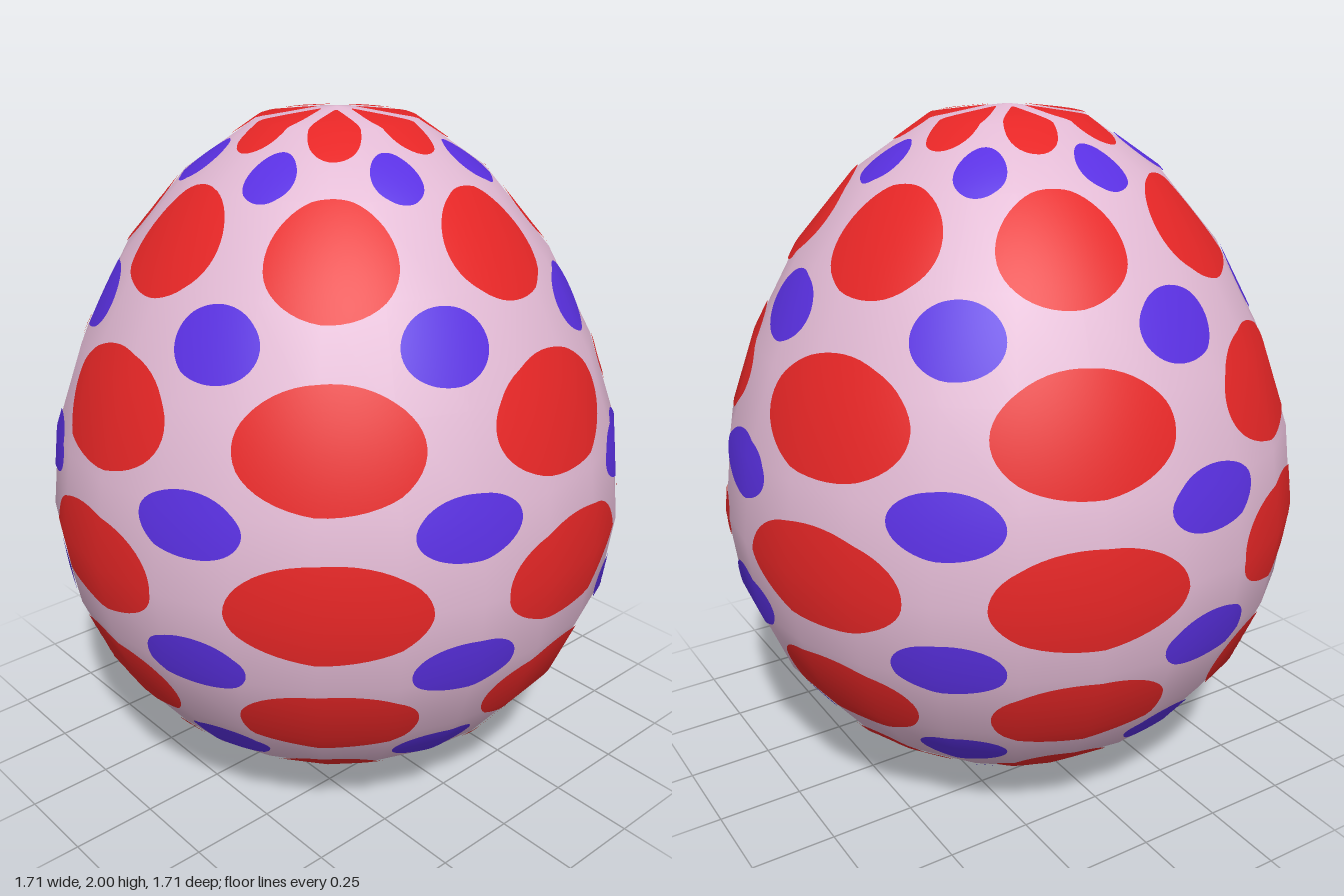
import * as THREE from 'three';

const SIDES = 24; // sides of the shell
const TILES = 7; // dot pattern repeats around and from pole to pole
const STEP = Math.PI / 12; // latitude between rings
const RADIUS = 0.855;
const AZIMUTH_SHIFT = THREE.MathUtils.degToRad(8.57);
const LIFT = 0.004;

// Ring heights from the bottom pole to the top pole
const heights = [0, 0.03, 0.116, 0.255, 0.435, 0.645, 0.87, 1.115, 1.36, 1.615, 1.825, 1.968, 2];
const profile = heights.map((y, i) => new THREE.Vector2(i % 12 ? RADIUS * Math.sin(i * STEP) : 0, y));

// Smooth outward normal of each ring, as (radial, up)
const ringNormals = profile.map((p, i) => {
  if (i === 0) return new THREE.Vector2(0, -1);
  if (i === 12) return new THREE.Vector2(0, 1);
  const edge = (a, b) => new THREE.Vector2(b.y - a.y, a.x - b.x).normalize();
  return edge(profile[i - 1], p).add(edge(p, profile[i + 1])).normalize();
});

// Point and normal on the faceted shell at an azimuth and latitude
function shellPoint(azimuth, latitude) {
  const row = THREE.MathUtils.clamp((latitude + Math.PI / 2) / STEP, 0, 11.9999);
  const i = Math.floor(row);
  const p = profile[i].clone().lerp(profile[i + 1], row - i);
  const n = ringNormals[i].clone().lerp(ringNormals[i + 1], row - i).normalize();
  const width = (2 * Math.PI) / SIDES;
  const side = Math.floor(azimuth / width);
  const t = azimuth / width - side;
  const a = side * width, b = a + width;
  const normal = new THREE.Vector3(n.x * Math.sin(azimuth), n.y, n.x * Math.cos(azimuth));
  const position = new THREE.Vector3(
    p.x * THREE.MathUtils.lerp(Math.sin(a), Math.sin(b), t),
    p.y,
    p.x * THREE.MathUtils.lerp(Math.cos(a), Math.cos(b), t)
  ).addScaledVector(normal, LIFT);
  return { position, normal };
}

// A round dot in pattern space, wrapped onto the shell
function dot(column, row, radius, material, name) {
  const geometry = new THREE.RingGeometry(0, radius, 48, 8);
  const pos = geometry.attributes.position;
  const nor = geometry.attributes.normal;
  for (let i = 0; i < pos.count; i++) {
    const azimuth = AZIMUTH_SHIFT + ((column + pos.getX(i)) * 2 * Math.PI) / TILES;
    const latitude = ((row + pos.getY(i)) * Math.PI) / TILES;
    const { position, normal } = shellPoint(azimuth, latitude);
    pos.setXYZ(i, position.x, position.y, position.z);
    nor.setXYZ(i, normal.x, normal.y, normal.z);
  }
  const mesh = new THREE.Mesh(geometry, material);
  mesh.name = name;
  return mesh;
}

export function createModel() {
  const pink = new THREE.MeshStandardMaterial({ color: 0xe2bad4 });
  const red = new THREE.MeshStandardMaterial({ color: 0xe62626 });
  const blue = new THREE.MeshStandardMaterial({ color: 0x5a30e2 });
  pink.name = 'pale pink';
  red.name = 'red';
  blue.name = 'violet blue';

  const egg = new THREE.Group();
  egg.name = 'egg';

  // Shell
  const shell = new THREE.Mesh(new THREE.LatheGeometry(profile, SIDES), pink);
  shell.name = 'shell';
  egg.add(shell);

  // Large dots at tile centres, small dots between them
  const largeDots = new THREE.Group();
  largeDots.name = 'largeDots';
  const smallDots = new THREE.Group();
  smallDots.name = 'smallDots';
  for (let column = 0; column < TILES; column++) {
    for (let row = -3; row <= 3; row++) {
      largeDots.add(dot(column, row, 0.356, red, 'largeDot'));
      if (row < 3) smallDots.add(dot(column + 0.5, row + 0.5, 0.208, blue, 'smallDot'));
    }
  }
  egg.add(largeDots, smallDots);
  return egg;
}
